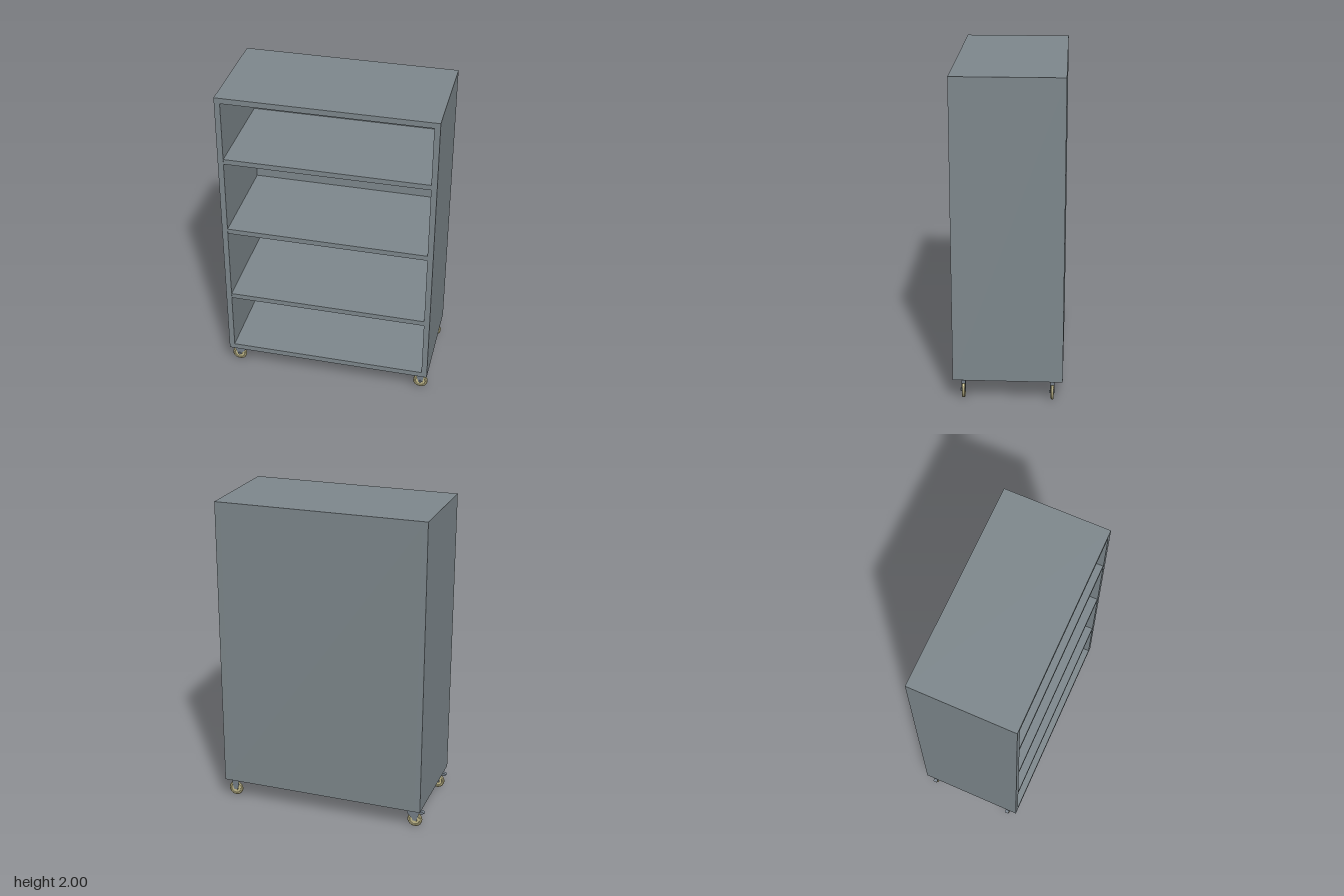
import * as THREE from 'three';

const steel = new THREE.MeshStandardMaterial({ color: 0x7f898e });
steel.name = 'greySteel';
const forkMetal = new THREE.MeshStandardMaterial({ color: 0x77818a });
forkMetal.name = 'forkMetal';
const tyre = new THREE.MeshStandardMaterial({ color: 0xc8bf8f });
tyre.name = 'beigeRubber';

function add(parent, name, geometry, material, x = 0, y = 0, z = 0) {
  const mesh = new THREE.Mesh(geometry, material);
  mesh.name = name;
  mesh.position.set(x, y, z);
  parent.add(mesh);
  return mesh;
}

// Box given by its minimum and maximum corners
function box(parent, name, [x0, y0, z0], [x1, y1, z1], material) {
  return add(parent, name, new THREE.BoxGeometry(x1 - x0, y1 - y0, z1 - z0), material,
    (x0 + x1) / 2, (y0 + y1) / 2, (z0 + z1) / 2);
}

// Plate drawn in x and y, centred in z
function plate(points, depth) {
  const shape = new THREE.Shape(points.map(([x, y]) => new THREE.Vector2(x, y)));
  return new THREE.ExtrudeGeometry(shape, { depth, bevelEnabled: false }).translate(0, 0, -depth / 2);
}

function createCaster(braked) {
  const caster = new THREE.Group();
  caster.name = braked ? 'brakedCaster' : 'caster';

  // Wheel with recessed sides and a raised hub
  const profile = [[0, -0.009], [0.014, -0.009], [0.016, -0.006], [0.031, -0.006], [0.034, -0.009],
    [0.042, -0.009], [0.047, -0.005], [0.047, 0.005], [0.042, 0.009], [0.034, 0.009],
    [0.031, 0.006], [0.016, 0.006], [0.014, 0.009], [0, 0.009]];
  const wheel = new THREE.LatheGeometry(profile.map(([r, y]) => new THREE.Vector2(r, y)), 32);
  wheel.rotateX(Math.PI / 2);
  add(caster, 'wheel', wheel.toNonIndexed(), tyre, 0, 0.05, 0).geometry.computeVertexNormals();

  // Axle, with its nut on the front side
  const axle = new THREE.CylinderGeometry(0.008, 0.008, 0.033, 12).rotateX(Math.PI / 2);
  add(caster, 'axle', axle, forkMetal, 0, 0.052, 0.004);

  // Fork cheeks joined by a crown
  const cheek = plate([[-0.012, 0.044], [0.012, 0.044], [0.021, 0.075], [0.021, 0.118],
    [-0.021, 0.118], [-0.021, 0.075]], 0.003);
  for (const s of [-1, 1]) add(caster, 'forkCheek', cheek, forkMetal, 0, 0, s * 0.0108);
  box(caster, 'forkCrown', [-0.021, 0.1, -0.01], [0.021, 0.12, 0.01], forkMetal);
  add(caster, 'stem', new THREE.CylinderGeometry(0.008, 0.008, 0.022, 16), forkMetal, 0, 0.125, 0);

  if (braked) {
    // Wide brake housing and a sloping foot pedal
    const housing = plate([[-0.025, 0.085], [-0.012, 0.062], [0.02, 0.062], [0.047, 0.092],
      [0.05, 0.112], [-0.03, 0.112]], 0.003);
    for (const s of [-1, 1]) add(caster, 'brakeHousing', housing, forkMetal, 0, 0, s * 0.0115);
    box(caster, 'brakeCover', [-0.03, 0.104, -0.011], [0.05, 0.112, 0.011], forkMetal);
    add(caster, 'brakePedal', plate([[-0.063, 0.106], [-0.05, 0.115], [-0.018, 0.115],
      [-0.018, 0.1], [-0.045, 0.094]], 0.026), forkMetal);
  }
  return caster;
}

export function createModel() {
  const model = new THREE.Group();
  model.name = 'rollingShelfCabinet';
  const L = -0.653, R = 0.668, B = 0.133, T = 2, D = 0.333, t = 0.035;

  // Open-fronted case
  const cabinet = new THREE.Group();
  cabinet.name = 'cabinet';
  model.add(cabinet);
  const outline = new THREE.Shape([[L, B], [R, B], [R, T], [L, T]].map((p) => new THREE.Vector2(...p)));
  outline.holes.push(new THREE.Path([[L + t, B + t], [L + t, T - t], [R - t, T - t], [R - t, B + t]]
    .map((p) => new THREE.Vector2(...p))));
  add(cabinet, 'case', new THREE.ExtrudeGeometry(outline, { depth: 2 * D, bevelEnabled: false }), steel, 0, 0, -D);
  box(cabinet, 'backPanel', [L + t, B + t, -D], [R - t, T - t, -D + 0.018], steel);

  // Shelves
  for (const y of [0.552, 1.054, 1.556]) {
    box(cabinet, 'shelf', [L + t, y, -D + 0.018], [R - t, y + 0.033, D - 0.002], steel);
  }

  // Casters, with brakes on the right-hand end
  for (const z of [-0.27, 0.27]) {
    for (const x of [-0.605, 0.62]) {
      const caster = createCaster(x < 0);
      caster.position.set(x, -0.003, z);
      model.add(caster);
    }
  }
  return model;
}
